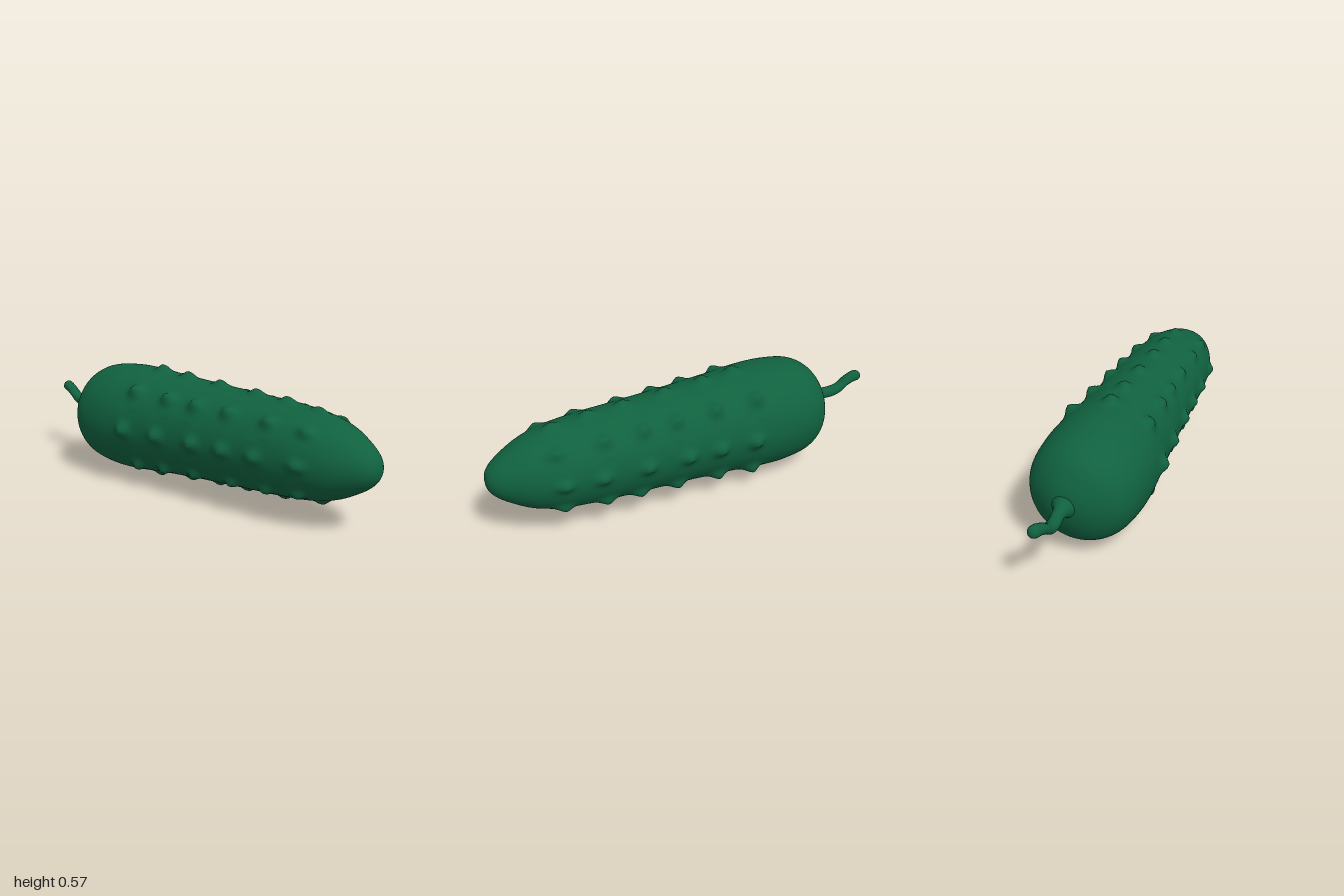
import * as THREE from 'three';
import { ParametricGeometry } from 'three/addons/geometries/ParametricGeometry.js';

const V = (x, y, z) => new THREE.Vector3(x, y, z);

// Sweep of rings along z; ring(v) gives { x, y, z, r }, bump(angle, z) adds to the radius
function sweep(ring, bump, slices, stacks) {
  return new ParametricGeometry((u, v, target) => {
    const c = ring(v);
    const a = u * Math.PI * 2;
    const r = c.r + bump(a, c.z);
    target.set(c.x + r * Math.cos(a), c.y + r * Math.sin(a), c.z);
  }, slices, stacks);
}

// Body profile from stem end to tip: (radius, centre height, z)
const profile = new THREE.CatmullRomCurve3([
  [0.001, 0.29, -0.728], [0.06, 0.288, -0.722], [0.12, 0.283, -0.7], [0.195, 0.278, -0.65],
  [0.238, 0.277, -0.58], [0.259, 0.277, -0.45], [0.259, 0.279, -0.32], [0.245, 0.282, -0.15],
  [0.229, 0.285, 0.1], [0.217, 0.287, 0.35], [0.205, 0.289, 0.58], [0.188, 0.289, 0.72],
  [0.16, 0.289, 0.82], [0.12, 0.289, 0.9], [0.075, 0.289, 0.965], [0.04, 0.289, 0.992],
  [0.001, 0.289, 1],
].map((p) => V(...p)));
profile.arcLengthDivisions = 600;

function bodyRing(v) {
  const p = profile.getPointAt(Math.min(Math.max(v, 0), 1));
  // slight sideways bow, fading at both ends
  const x = 0.011 * Math.sin(p.z * 2.6) * Math.min(1, p.x / 0.15);
  return { x, y: p.y, z: p.z, r: p.x };
}

// Eight rows of six warts
const ROWS = 8, PER_ROW = 6;
function warts(angle, z) {
  const step = (Math.PI * 2) / ROWS;
  const row = Math.round(angle / step);
  const da = (angle - row * step) * 0.23;
  let h = 0;
  for (let k = 0; k < PER_ROW; k++) {
    const zk = 0.71 - 0.188 * k + 0.018 * Math.sin((row % ROWS) * 2.3 + k * 1.7);
    const dz = (z - zk) / 0.036, dw = da / 0.03;
    h += (0.024 + 0.002 * k) * Math.exp(-(dz * dz + dw * dw));
  }
  return h;
}

// Crooked stem: centre line and radius, from free end to flared base
const stemPath = new THREE.CatmullRomCurve3([
  V(0, 0.345, -1), V(-0.004, 0.345, -0.965), V(-0.01, 0.325, -0.92), V(-0.012, 0.294, -0.875),
  V(-0.011, 0.285, -0.83), V(-0.004, 0.29, -0.77), V(0, 0.29, -0.69),
]);
function stemRing(v) {
  const t = Math.min(Math.max(v, 0), 1);
  const p = stemPath.getPointAt(t);
  const tip = Math.sqrt(Math.max(0, 1 - (1 - Math.min(1, t / 0.09)) ** 2));
  const flare = 0.06 * Math.max(0, (t - 0.72) / 0.28) ** 2;
  return { x: p.x, y: p.y, z: p.z, r: 0.001 + 0.027 * tip + flare };
}

export function createModel() {
  const group = new THREE.Group();
  group.name = 'cucumber';
  const green = new THREE.MeshStandardMaterial({ color: 0x10613f });

  const body = new THREE.Mesh(sweep(bodyRing, warts, 96, 150), green);
  body.name = 'body';

  const stem = new THREE.Mesh(sweep(stemRing, () => 0, 20, 48), green);
  stem.name = 'stem';

  group.add(body, stem);
  return group;
}
